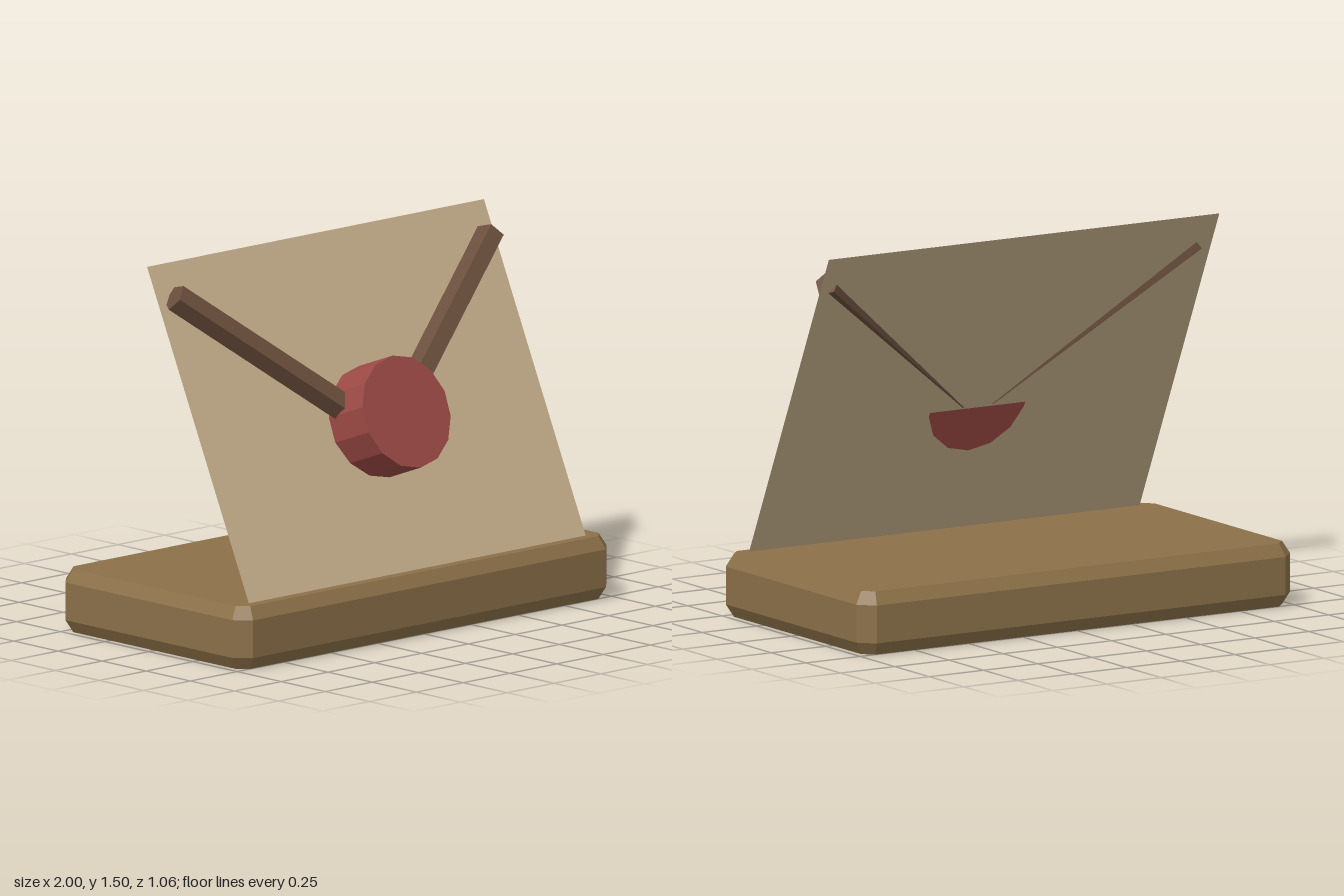
import * as THREE from 'three';

function material(name, color, options = {}) {
  const m = new THREE.MeshStandardMaterial({ color, flatShading: true, ...options });
  m.name = name;
  return m;
}

export function createModel() {
  const model = new THREE.Group();
  model.name = 'leaningPanelOnBase';

  const baseWood = material('base wood', 0x8b7048);
  const parchment = material('parchment', 0xc6af8c, { side: THREE.DoubleSide });
  const sealRed = material('seal red', 0x9c4a45);
  const darkWood = material('dark wood', 0x6b4f3d);

  const add = (name, geometry, mat) => {
    const mesh = new THREE.Mesh(geometry, mat);
    mesh.name = name;
    model.add(mesh);
    return mesh;
  };

  // Base: slab with cut corners and one bevel all round
  const w = 0.97, d = 0.5, cut = 0.04;
  const outline = new THREE.Shape([
    [w - cut, -d], [w, cut - d], [w, d - cut], [w - cut, d],
    [cut - w, d], [-w, d - cut], [-w, cut - d], [cut - w, -d],
  ].map(([x, y]) => new THREE.Vector2(x, y)));
  const slab = new THREE.ExtrudeGeometry(outline, {
    depth: 0.15, bevelEnabled: true, bevelThickness: 0.05, bevelSize: 0.03, bevelSegments: 1,
  });
  slab.rotateX(-Math.PI / 2);
  slab.translate(0, 0.05, 0);
  add('base', slab, baseWood);

  // Thin panel leaning back from the front of the base
  const panel = add('panel', new THREE.PlaneGeometry(1.8, 1.374), parchment);
  panel.position.set(0, 0.874, 0.172);
  panel.rotation.x = -0.433;

  // Round seal, tilted a little less than the panel
  const seal = add('seal', new THREE.CylinderGeometry(0.225, 0.225, 0.203, 14), sealRed);
  seal.position.set(0, 0.833, 0.305);
  seal.rotation.x = Math.PI / 2 - 0.36;

  // Five-sided rods running from the seal to the upper corners
  for (const [name, s] of [['leftRod', 1], ['rightRod', -1]]) {
    const inner = new THREE.Vector3(s * 0.065, 0.8, 0.267);
    const outer = new THREE.Vector3(s * 0.845, 1.385, -0.02);
    const axis = outer.clone().sub(inner);
    const length = axis.length();
    axis.normalize();
    // One ridge of the rod faces forward
    const side = axis.clone().cross(new THREE.Vector3(s * 0.337, -0.008, 0.9)).normalize();
    const ridge = side.clone().cross(axis);
    const rod = add(name, new THREE.CylinderGeometry(0.057, 0.057, length, 5), darkWood);
    rod.quaternion.setFromRotationMatrix(new THREE.Matrix4().makeBasis(side, axis, ridge));
    rod.position.copy(inner).add(outer).multiplyScalar(0.5);
  }

  return model;
}
